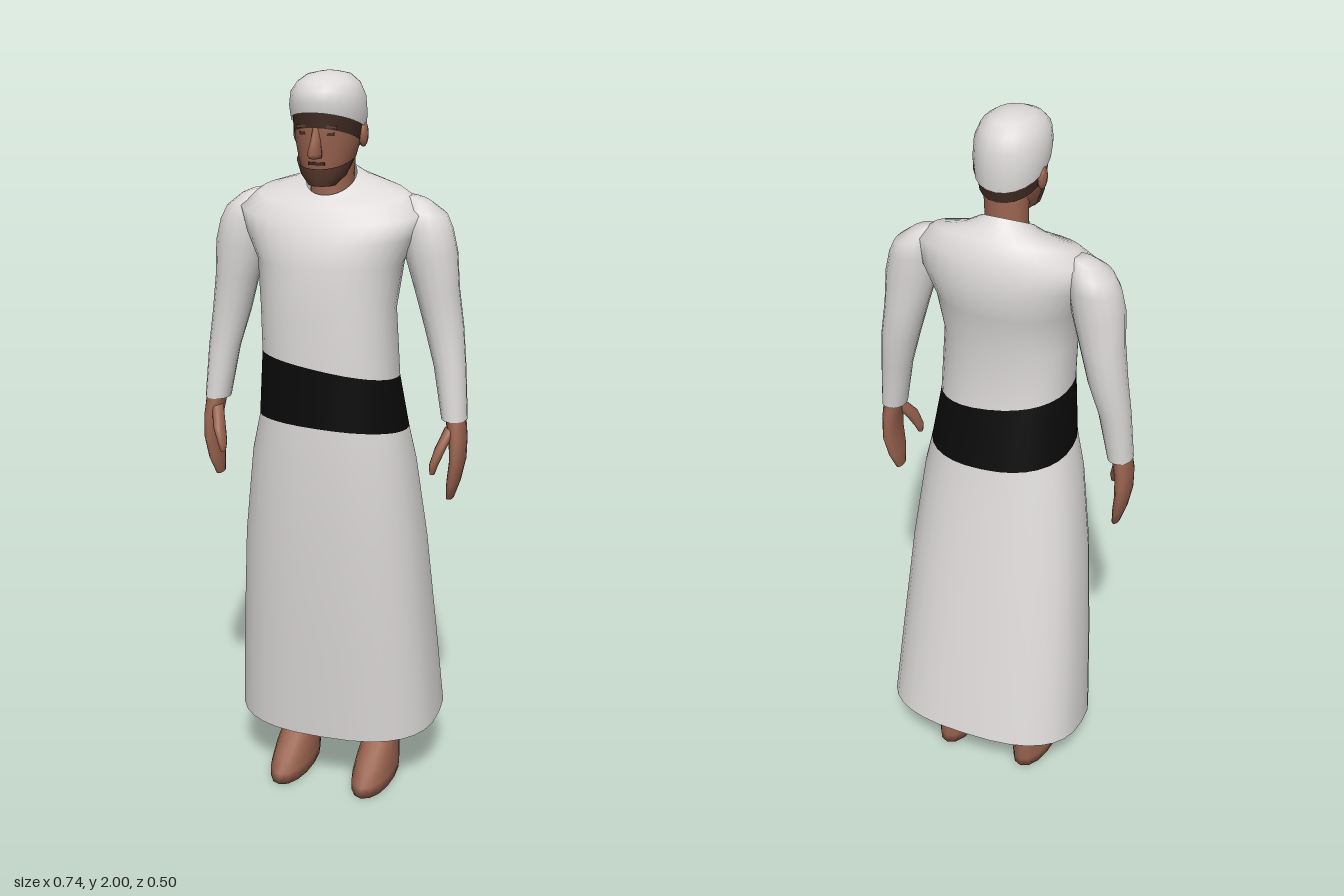
import * as THREE from 'three';

const mat = (name, color, side = THREE.FrontSide) => {
  const m = new THREE.MeshStandardMaterial({ color, side });
  m.name = name;
  return m;
};

// Skin a stack of rings, listed from bottom to top.
// ring: [y, centreX, halfWidth, zFront, zBack, slopeZ, slopeX, power]
function loft(rings, { n = 24, from = 0, to = Math.PI * 2, bottom = false, top = false } = {}) {
  const pos = [], idx = [];
  const full = to - from > 6.28;
  const cols = full ? n : n + 1;
  const pow = (v, p) => Math.sign(v) * Math.abs(v) ** (2 / p);
  for (const [y, cx, rx, zf, zb, sz = 0, sx = 0, p = 2.1] of rings) {
    for (let i = 0; i < cols; i++) {
      const a = from + (to - from) * i / n;
      const dx = rx * pow(Math.cos(a), p);
      const z = (zf + zb) / 2 + (zf - zb) / 2 * pow(Math.sin(a), p);
      pos.push(cx + dx, y + sz * z + sx * dx, z);
    }
  }
  for (let r = 0; r < rings.length - 1; r++) {
    for (let i = 0; i < n; i++) {
      const a = r * cols + i, b = r * cols + (i + 1) % cols;
      idx.push(a, a + cols, b, b, a + cols, b + cols);
    }
  }
  // End caps
  const close = (r, up) => {
    const [y, cx, , zf, zb, sz = 0] = rings[r], z = (zf + zb) / 2, c = pos.length / 3;
    pos.push(cx, y + sz * z + (up ? 0.004 : 0), z);
    for (let i = 0; i < n; i++) {
      const a = r * cols + i, b = r * cols + (i + 1) % cols;
      idx.push(c, up ? b : a, up ? a : b);
    }
  };
  if (bottom) close(0, false);
  if (top) close(rings.length - 1, true);
  const g = new THREE.BufferGeometry();
  g.setAttribute('position', new THREE.Float32BufferAttribute(pos, 3));
  g.setIndex(idx);
  g.computeVertexNormals();
  return g;
}

export function createModel() {
  const model = new THREE.Group();
  const cloth = mat('white cloth', 0xdedada, THREE.DoubleSide);
  const black = mat('black sash', 0x0a0a0a, THREE.DoubleSide);
  const skin = mat('skin', 0x99634f);
  const hair = mat('dark hair', 0x3f2a22, THREE.DoubleSide);
  const beardMat = mat('beard', 0x5c3b2f, THREE.DoubleSide);
  const add = (name, geo, m, parent = model) => {
    const mesh = new THREE.Mesh(geo, m);
    mesh.name = name;
    parent.add(mesh);
    return mesh;
  };

  // Robe: skirt, sash and upper body share their edge rings
  const sashLow = [1.075, 0.008, 0.2, 0.225, -0.095, 0.12, -0.05, 2.3];
  const sashTop = [1.238, 0.005, 0.182, 0.226, -0.058, 0.1, -0.15, 2.3];
  add('skirt', loft([
    [0.19, 0, 0.288, 0.165, -0.245, -0.12, 0, 2.6],
    [0.45, 0, 0.272, 0.19, -0.205, -0.06, 0, 2.5],
    [0.75, 0.002, 0.25, 0.215, -0.152, 0, 0, 2.4],
    [0.98, 0.005, 0.222, 0.225, -0.11, 0.06, -0.02, 2.3],
    sashLow,
  ], { n: 32 }), cloth);
  add('sash', loft([sashLow, sashTop], { n: 32 }), black);
  add('upperRobe', loft([
    sashTop,
    [1.4, 0, 0.178, 0.226, -0.045, 0, 0, 2.3],
    [1.52, 0, 0.193, 0.222, -0.08],
    [1.6, 0, 0.23, 0.208, -0.09, -0.1],
    [1.665, 0, 0.25, 0.188, -0.075, -0.2, 0, 2],
    [1.705, 0, 0.195, 0.163, -0.05, -0.25, 0, 2],
    [1.735, 0, 0.105, 0.145, -0.025, -0.4, 0, 2],
    [1.765, 0, 0.064, 0.132, -0.004, -0.55, 0, 2],
  ], { n: 32 }), cloth);

  // Arms, hands and feet on both sides
  for (const s of [1, -1]) {
    const side = s > 0 ? 'left' : 'right';
    const lim = (name, rings, m, opts) =>
      add(side + name, loft(rings.map(([y, x, rx, zf, zb, sz = 0, sx = 0]) =>
        [y, s * x, rx, zf, zb, sz, s * sx]), { n: 16, ...opts }), m);
    lim('Sleeve', [
      [1.11, 0.333, 0.034, 0.09, 0.008],
      [1.25, 0.315, 0.042, 0.085, -0.008],
      [1.35, 0.295, 0.051, 0.085, -0.028],
      [1.45, 0.275, 0.058, 0.095, -0.03],
      [1.54, 0.26, 0.067, 0.105, -0.032, 0, 0.1],
      [1.61, 0.247, 0.066, 0.105, -0.035, 0, -0.1],
      [1.655, 0.24, 0.056, 0.09, -0.03, 0, -0.3],
      [1.68, 0.225, 0.03, 0.06, 0, 0, -0.3],
    ], cloth, { top: true });
    lim('Hand', [
      [0.892, 0.328, 0.01, 0.08, 0.035],
      [0.94, 0.337, 0.017, 0.1, 0.015],
      [1.0, 0.346, 0.02, 0.105, 0.004],
      [1.06, 0.345, 0.023, 0.1, 0.008],
      [1.13, 0.334, 0.028, 0.083, 0.015],
    ], skin, { bottom: true });
    lim('Thumb', [
      [0.975, 0.294, 0.007, 0.13, 0.112],
      [1.0, 0.297, 0.012, 0.135, 0.1],
      [1.04, 0.31, 0.015, 0.128, 0.08],
      [1.09, 0.328, 0.015, 0.09, 0.05],
    ], skin, { n: 10, bottom: true, top: true });
    lim('Foot', [
      [0.004, 0.122, 0.056, 0.18, -0.107],
      [0.035, 0.122, 0.057, 0.178, -0.11],
      [0.075, 0.122, 0.052, 0.14, -0.11],
      [0.11, 0.122, 0.048, 0.075, -0.107],
      [0.15, 0.124, 0.046, 0.026, -0.102],
      [0.2, 0.125, 0.048, 0.01, -0.1],
      [0.42, 0.122, 0.055, 0.04, -0.09],
    ], skin, { bottom: true, top: true });
  }

  // Head, slightly off centre
  const head = new THREE.Group();
  head.name = 'head';
  head.position.x = 0.008;
  model.add(head);
  add('neck', loft([
    [1.66, -0.006, 0.056, 0.128, 0.01],
    [1.74, -0.004, 0.055, 0.118, 0.012],
    [1.83, 0, 0.058, 0.13, 0.015],
  ]), skin, head);
  add('face', loft([
    [1.727, 0, 0.032, 0.192, 0.125],
    [1.75, 0, 0.054, 0.203, 0.075],
    [1.79, 0, 0.07, 0.207, 0.035],
    [1.83, 0, 0.079, 0.211, 0.015],
    [1.88, 0, 0.084, 0.216, 0.008],
    [1.925, 0, 0.082, 0.212, 0.01],
  ], { bottom: true, top: true }), skin, head);
  add('nose', loft([
    [1.798, 0, 0.015, 0.236, 0.19],
    [1.81, 0, 0.018, 0.25, 0.19],
    [1.84, 0, 0.012, 0.234, 0.19],
    [1.872, 0, 0.008, 0.219, 0.19],
  ], { n: 8, bottom: true, top: true }), skin, head);
  add('beard', loft([
    [1.725, 0, 0.035, 0.197, 0.12],
    [1.755, 0, 0.059, 0.207, 0.07, -0.03],
    [1.825, 0, 0.074, 0.211, 0.03, -0.26],
  ], { n: 16, from: 0.1, to: Math.PI - 0.1 }), beardMat, head);
  add('mouth', new THREE.BoxGeometry(0.042, 0.007, 0.008), hair, head).position.set(0, 1.783, 0.205);
  for (const s of [1, -1]) {
    const ear = add(s > 0 ? 'leftEar' : 'rightEar', new THREE.SphereGeometry(1, 10, 8), skin, head);
    ear.scale.set(0.012, 0.032, 0.02);
    ear.position.set(s * 0.086, 1.845, 0.095);
    const eye = add(s > 0 ? 'leftEye' : 'rightEye', new THREE.BoxGeometry(0.022, 0.007, 0.006), hair, head);
    eye.position.set(s * 0.034, 1.856, 0.203);
    eye.rotation.y = s * 0.25;
    const brow = add(s > 0 ? 'leftBrow' : 'rightBrow', new THREE.BoxGeometry(0.036, 0.007, 0.008), beardMat, head);
    brow.position.set(s * 0.034, 1.874, 0.206);
    brow.rotation.set(0, s * 0.25, -s * 0.1);
  }
  add('hair', loft([
    [1.793, 0, 0.082, 0.217, 0.012, 0.36],
    [1.85, 0, 0.088, 0.219, 0.004, 0.33],
  ]), hair, head);

  // Close-fitting cap with a sloping rim
  add('cap', loft([
    [1.828, 0, 0.091, 0.222, 0.001, 0.36],
    [1.872, 0, 0.095, 0.227, -0.003, 0.27],
    [1.925, 0, 0.091, 0.223, 0, 0.16],
    [1.965, 0, 0.076, 0.204, 0.014, 0.06],
    [1.988, 0, 0.052, 0.172, 0.04, 0.02],
    [1.996, 0, 0.025, 0.14, 0.075],
  ], { top: true }), cloth, head);

  return model;
}
